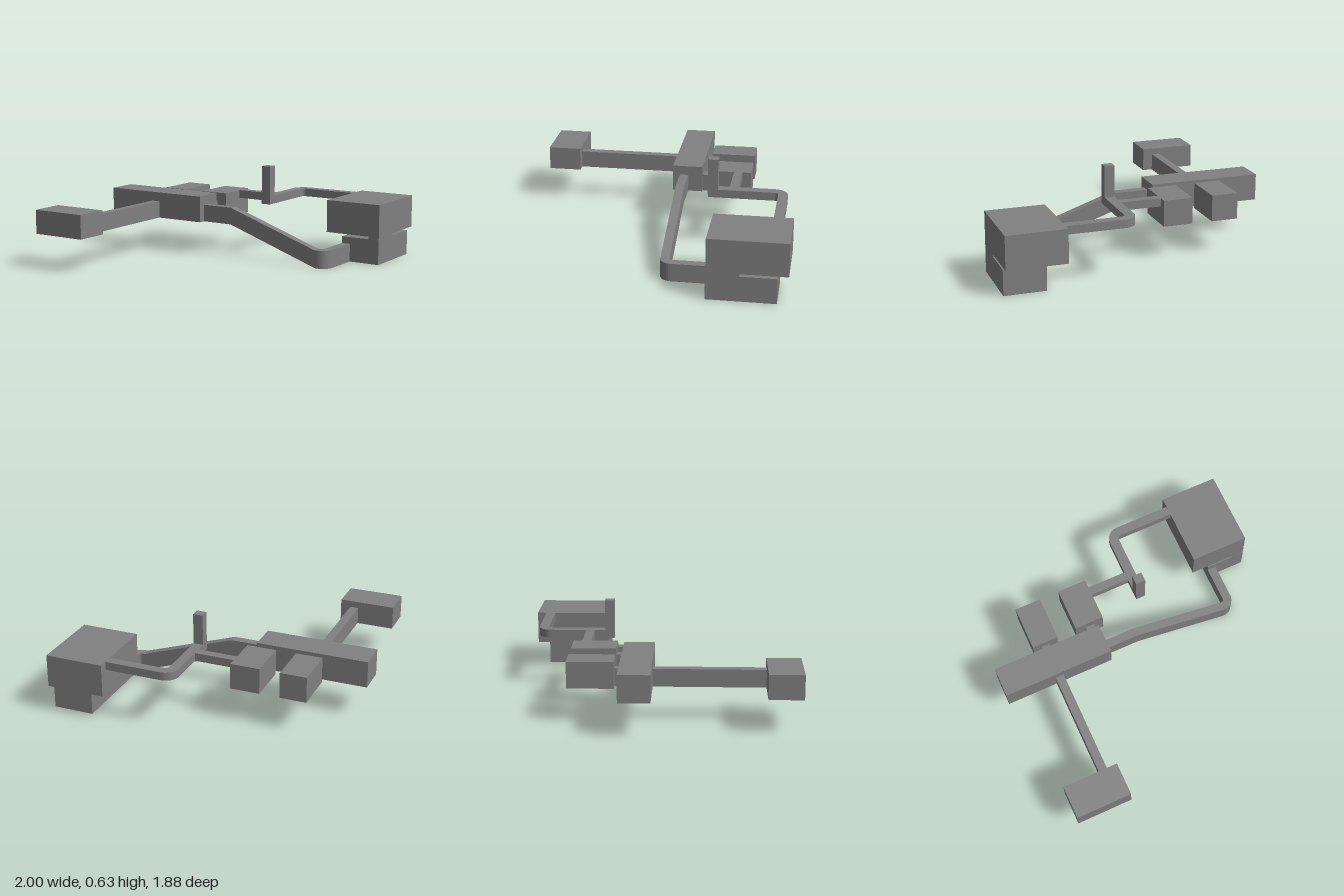
import * as THREE from 'three';

export function createModel() {
  const model = new THREE.Group();
  model.name = 'roomLayout';
  const grey = new THREE.MeshStandardMaterial({ color: 0x808080 });
  grey.name = 'grey';

  const add = (name, geometry) => {
    const mesh = new THREE.Mesh(geometry, grey);
    mesh.name = name;
    model.add(mesh);
  };

  // Box given by its limits on each axis
  const box = (name, [x0, x1], [y0, y1], [z0, z1]) => {
    const g = new THREE.BoxGeometry(x1 - x0, y1 - y0, z1 - z0);
    g.translate((x0 + x1) / 2, (y0 + y1) / 2, (z0 + z1) / 2);
    add(name, g);
  };

  // Floor plan (shape y is -z) raised from y0 to y1
  const plan = (name, shape, y0, y1) => {
    const g = new THREE.ExtrudeGeometry(shape, { depth: y1 - y0, bevelEnabled: false, curveSegments: 4 });
    g.rotateX(-Math.PI / 2);
    g.translate(0, y0, 0);
    add(name, g);
  };

  // Rooms on the main level
  const floor = 0.235, passage = [floor, 0.355];
  box('mainHall', [-1, -0.22], [floor, 0.42], [-0.245, -0.035]);
  box('frontRoom', [-0.9, -0.51], [floor, 0.4], [0.705, 0.935]);
  box('frontCorridor', [-0.64, -0.58], passage, [-0.035, 0.705]);
  box('backRoomRight', [-0.7, -0.515], [floor, 0.415], [-0.595, -0.285]);
  box('backRoomLeft', [-0.375, -0.17], [floor, 0.415], [-0.595, -0.29]);
  box('backDoorwayRight', [-0.64, -0.58], passage, [-0.285, -0.245]);
  box('backDoorwayLeft', [-0.305, -0.24], passage, [-0.29, -0.245]);

  // Shallow upper duct with its vertical shaft
  const duct = [0.358, 0.415];
  box('crossDuct', [-0.17, 0.11], duct, [-0.535, -0.475]);
  box('shaft', [0.108, 0.177], [duct[0], 0.63], [-0.4, -0.335]);
  const bend = new THREE.Shape();
  bend.moveTo(0.108, 0.335);
  bend.lineTo(0.177, 0.335);
  bend.lineTo(0.177, 0.785);
  bend.absarc(0.202, 0.785, 0.025, Math.PI, Math.PI / 2, true);
  bend.lineTo(0.597, 0.81);
  bend.lineTo(0.597, 0.876);
  bend.lineTo(0.2, 0.876);
  bend.absarc(0.2, 0.784, 0.092, Math.PI / 2, Math.PI, false);
  plan('bentDuct', bend, ...duct);

  // Passage sloping down from the hall
  const slope = new THREE.Shape([
    [-0.22, floor], [0.005, floor], [0.69, 0], [0.7, 0],
    [0.7, 0.125], [0.68, 0.125], [0.005, 0.355], [-0.22, 0.355],
  ].map(([x, y]) => new THREE.Vector2(x, y)));
  const ramp = new THREE.ExtrudeGeometry(slope, { depth: 0.06, bevelEnabled: false });
  ramp.translate(0, 0, -0.145);
  add('slopingPassage', ramp);

  // Rounded corner and passage to the lower room
  const corner = new THREE.Shape();
  corner.moveTo(0.7, 0.085);
  corner.absarc(0.7, 0.165, 0.08, -Math.PI / 2, 0, false);
  corner.lineTo(0.78, 0.415);
  corner.lineTo(0.718, 0.415);
  corner.lineTo(0.718, 0.165);
  corner.absarc(0.7, 0.163, 0.018, 0, -Math.PI / 2, true);
  plan('lowerPassage', corner, 0, 0.125);

  // Two-storey block, its levels joined in one corner
  box('upperRoom', [0.595, 1], [0.19, 0.417], [-0.94, -0.417]);
  box('lowerRoom', [0.718, 1], [0, 0.173], [-0.87, -0.415]);
  box('storeyLink', [0.92, 1], [0.173, 0.19], [-0.63, -0.417]);

  return model;
}
